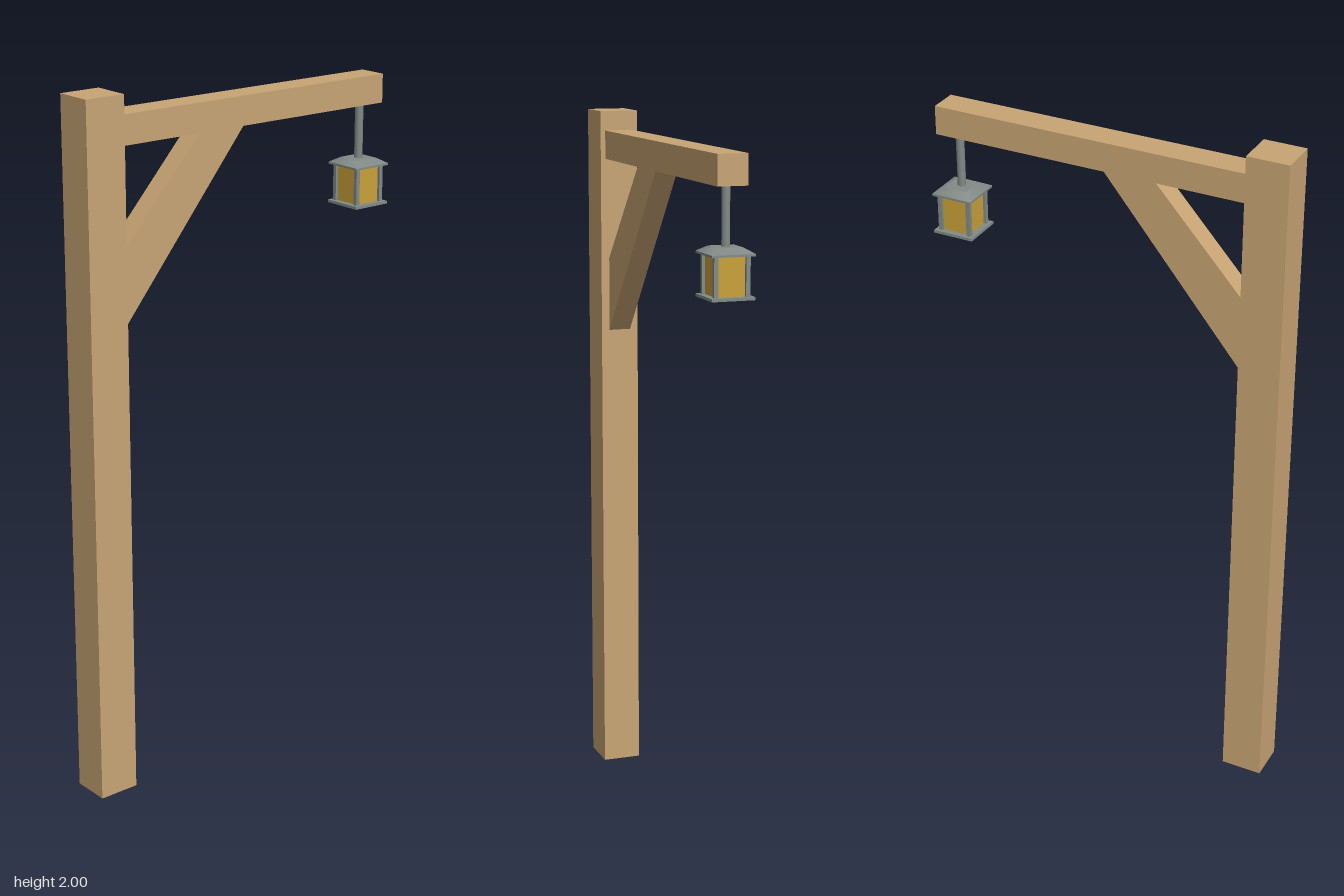
import * as THREE from 'three';

export function createModel() {
  const model = new THREE.Group();
  model.name = 'lanternPost';

  const make = (name, color) => {
    const m = new THREE.MeshStandardMaterial({ color });
    m.name = name;
    return m;
  };
  const wood = make('wood', 0xc8a574);
  const metal = make('metal', 0x828b87);
  const glass = make('amberGlass', 0xcaa23a);

  const add = (parent, name, geometry, material, x = 0, y = 0, z = 0) => {
    const mesh = new THREE.Mesh(geometry, material);
    mesh.name = name;
    mesh.position.set(x, y, z);
    parent.add(mesh);
    return mesh;
  };
  const box = (w, h, d) => new THREE.BoxGeometry(w, h, d);

  // Upright post and horizontal arm
  add(model, 'post', box(0.112, 2, 0.12), wood, 0, 1, 0.464);
  add(model, 'arm', box(0.084, 0.082, 0.915), wood, 0, 1.903, -0.0535);

  // Diagonal brace, drawn in the z-y plane and extruded across x
  const profile = new THREE.Shape(
    [[-0.405, 1.355], [0.012, 1.862], [-0.14, 1.862], [-0.405, 1.57]]
      .map(([a, b]) => new THREE.Vector2(a, b))
  );
  const braceGeometry = new THREE.ExtrudeGeometry(profile, { depth: 0.064, bevelEnabled: false });
  braceGeometry.translate(0, 0, -0.032).rotateY(Math.PI / 2);
  add(model, 'brace', braceGeometry, wood);

  // Hanging lantern
  const lantern = new THREE.Group();
  lantern.name = 'lantern';
  lantern.position.z = -0.462;
  model.add(lantern);

  add(lantern, 'hangingRod', new THREE.CylinderGeometry(0.012, 0.012, 0.165, 8), metal, 0, 1.782, 0);
  add(lantern, 'basePlate', box(0.12, 0.008, 0.12), metal, 0, 1.574, 0);
  add(lantern, 'roofEdge', box(0.12, 0.006, 0.12), metal, 0, 1.686, 0);

  // Shallow four-sided roof
  const roof = new THREE.CylinderGeometry(0.035 * Math.SQRT2, 0.06 * Math.SQRT2, 0.015, 4);
  roof.rotateY(Math.PI / 4);
  add(lantern, 'roof', roof, metal, 0, 1.6965, 0);

  add(lantern, 'glassBody', box(0.084, 0.106, 0.084), glass, 0, 1.6305, 0);

  // Corner bars
  for (const sx of [-1, 1]) {
    for (const sz of [-1, 1]) {
      add(lantern, 'cornerBar', box(0.012, 0.106, 0.012), metal, sx * 0.044, 1.6305, sz * 0.044);
    }
  }

  return model;
}
